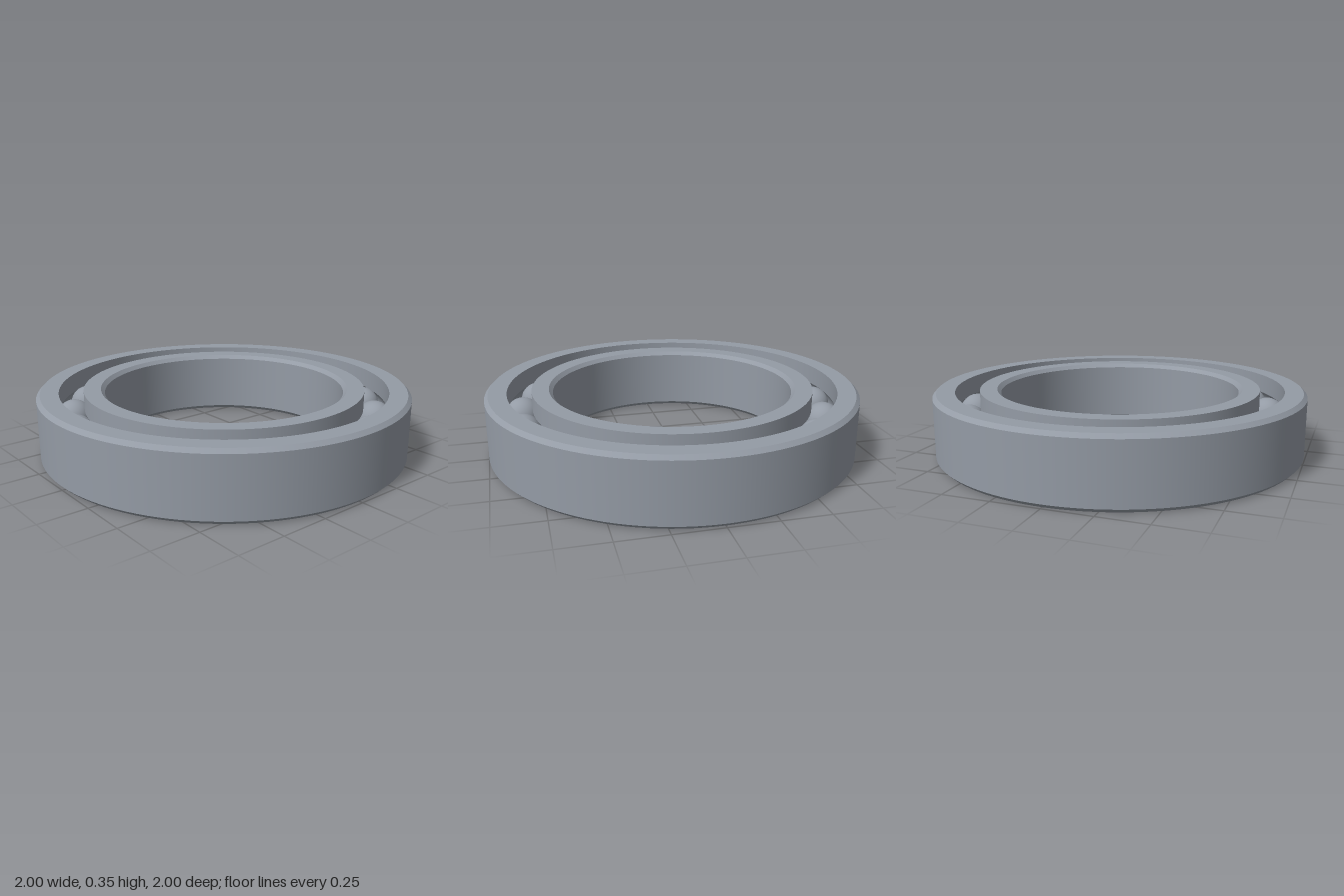
import * as THREE from 'three';
import { mergeGeometries } from 'three/addons/utils/BufferGeometryUtils.js';

const HEIGHT = 0.35, MID = HEIGHT / 2, CHAMFER = 0.02;
const PITCH = 0.82;          // radius of the circle of ball centres
const BALL = 0.097;
const OUTER = 1, OUTER_LIP = 0.884, INNER_LIP = 0.756, BORE = 0.645;
const BALL_COUNT = 19;

// Revolve each run of profile points on its own, so edges between runs stay sharp
function revolve(runs) {
  return mergeGeometries(runs.map(run =>
    new THREE.LatheGeometry(run.map(([r, y]) => new THREE.Vector2(r, y)), 128)));
}

// Straight runs along a list of corners
function straight(corners) {
  return corners.slice(1).map((p, i) => [corners[i], p]);
}

// Arc of the ball groove between two angles
function groove(from, to, steps = 14) {
  return Array.from({ length: steps + 1 }, (_, i) => {
    const a = from + (to - from) * i / steps;
    return [PITCH + BALL * Math.cos(a), MID + BALL * Math.sin(a)];
  });
}

export function createModel() {
  const steel = new THREE.MeshStandardMaterial({ color: 0x949ba5 });
  steel.name = 'steel';
  const group = new THREE.Group();
  group.name = 'ballBearing';

  const add = (name, geometry, parent = group) => {
    const mesh = new THREE.Mesh(geometry, steel);
    mesh.name = name;
    parent.add(mesh);
    return mesh;
  };

  // Outer ring: chamfered outside, grooved inside
  const ao = Math.acos((OUTER_LIP - PITCH) / BALL);
  const outerGroove = groove(ao, -ao);
  add('outerRing', revolve([
    ...straight([
      [OUTER_LIP, 0], [OUTER - CHAMFER, 0], [OUTER, CHAMFER], [OUTER, HEIGHT - CHAMFER],
      [OUTER - CHAMFER, HEIGHT], [OUTER_LIP, HEIGHT], outerGroove[0],
    ]),
    outerGroove,
    [outerGroove.at(-1), [OUTER_LIP, 0]],
  ]));

  // Inner ring: chamfered bore, grooved outside
  const ai = Math.acos((PITCH - INNER_LIP) / BALL);
  const innerGroove = groove(Math.PI + ai, Math.PI - ai);
  add('innerRing', revolve([
    ...straight([
      innerGroove.at(-1), [INNER_LIP, HEIGHT], [BORE + CHAMFER, HEIGHT], [BORE, HEIGHT - CHAMFER],
      [BORE, CHAMFER], [BORE + CHAMFER, 0], [INNER_LIP, 0], innerGroove[0],
    ]),
    innerGroove,
  ]));

  // Balls spaced evenly around the race
  const balls = new THREE.Group();
  balls.name = 'balls';
  group.add(balls);
  const ballGeometry = new THREE.SphereGeometry(BALL, 32, 20);
  for (let i = 0; i < BALL_COUNT; i++) {
    const a = THREE.MathUtils.degToRad(-7.1) + i * 2 * Math.PI / BALL_COUNT;
    add('ball', ballGeometry, balls).position.set(PITCH * Math.cos(a), MID, PITCH * Math.sin(a));
  }
  return group;
}
